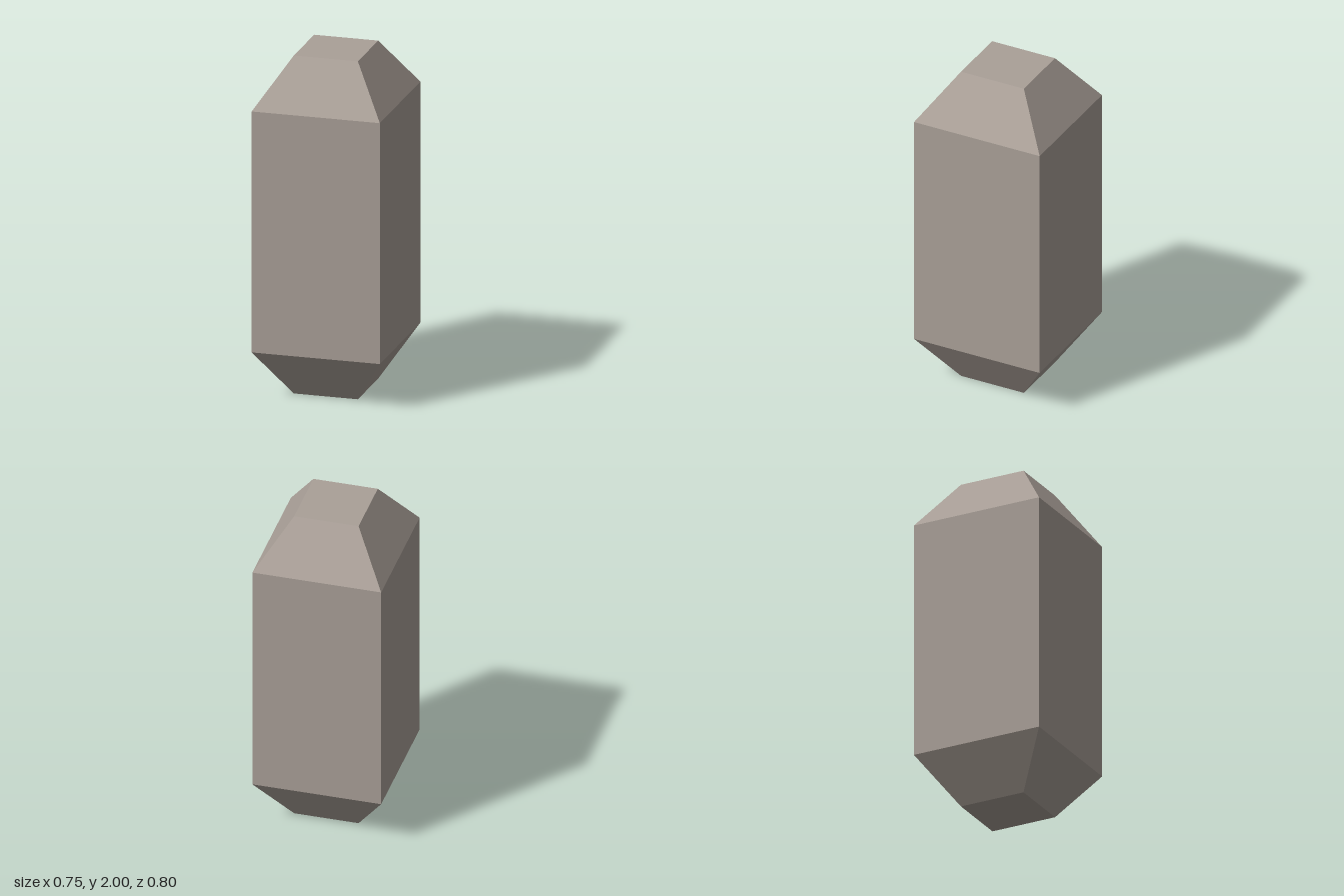
import * as THREE from 'three';

const WIDTH = 0.754, DEPTH = 0.8, HEIGHT = 2;
const TAPER = 0.5;      // end face size relative to the body
const SHOULDER = 0.713; // half height of the straight body

// Box in three tiers: the outer rings shrink to form the bevelled ends
function bevelledPrism() {
  const box = new THREE.BoxGeometry(WIDTH, HEIGHT, DEPTH, 1, 3, 1);
  const p = box.attributes.position;
  for (let i = 0; i < p.count; i++) {
    const y = p.getY(i);
    if (Math.abs(y) > HEIGHT / 2 - 0.01) {
      p.setX(i, p.getX(i) * TAPER);
      p.setZ(i, p.getZ(i) * TAPER);
    } else {
      p.setY(i, Math.sign(y) * SHOULDER);
    }
  }
  const flat = box.toNonIndexed();
  flat.computeVertexNormals();
  return flat;
}

export function createModel() {
  const model = new THREE.Group();
  model.name = 'crystal';
  const stone = new THREE.MeshStandardMaterial({ color: 0xaaa098, flatShading: true });
  const body = new THREE.Mesh(bevelledPrism(), stone);
  body.name = 'crystalBody';
  body.position.y = HEIGHT / 2;
  model.add(body);
  return model;
}
